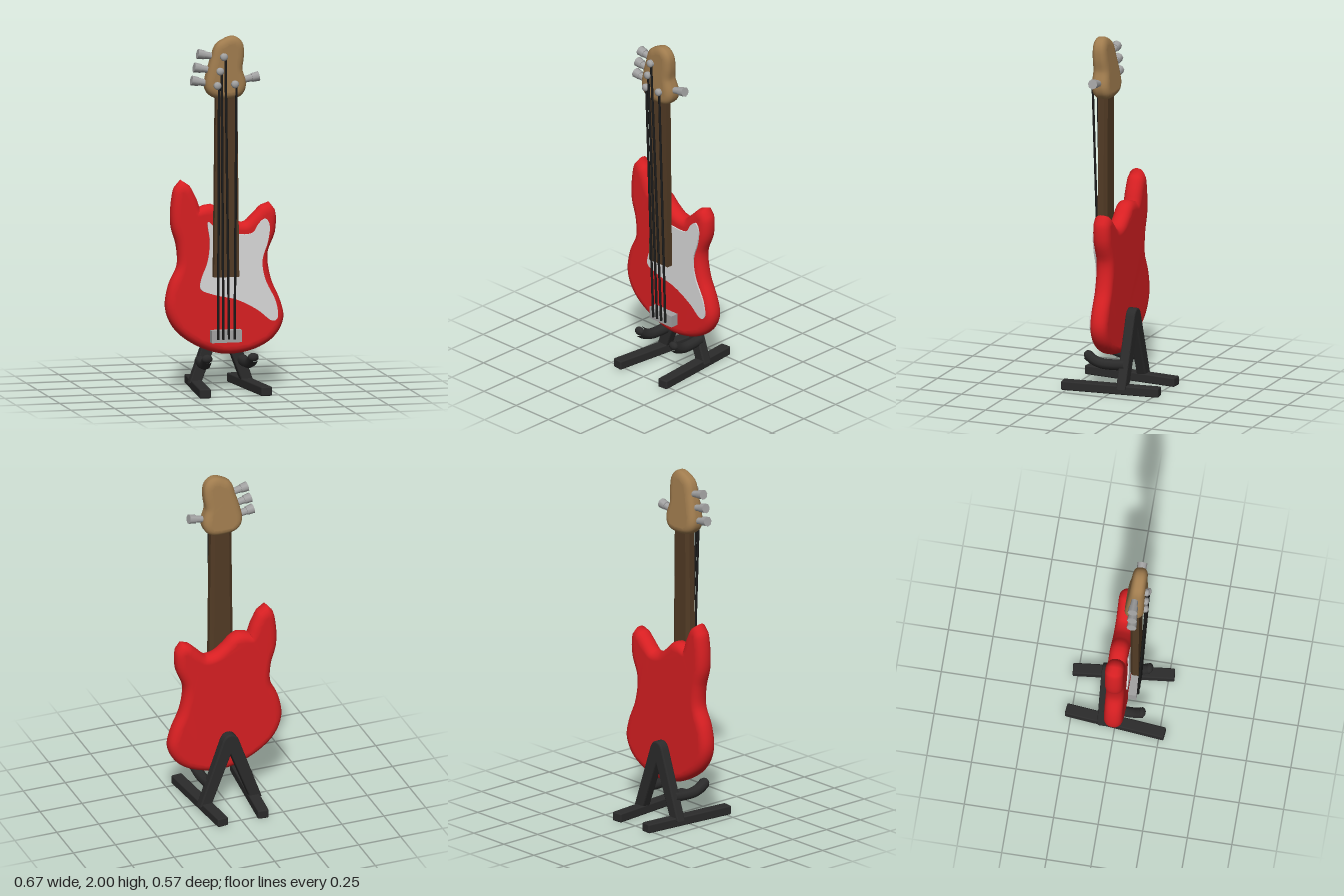
import * as THREE from 'three';
import { mergeVertices } from 'three/addons/utils/BufferGeometryUtils.js';
import { RoundedBoxGeometry } from 'three/addons/geometries/RoundedBoxGeometry.js';

const material = (name, color) => Object.assign(new THREE.MeshStandardMaterial({ color }), { name });
const red = material('red lacquer', 0xd81f22);
const white = material('white plastic', 0xd8d8d8);
const tan = material('light wood', 0xa07c4e);
const brown = material('dark wood', 0x523b25);
const metal = material('grey metal', 0xa3a3a3);
const black = material('black stand', 0x2b2b2b);
const stringBlack = material('string black', 0x1c1c1c);

// Closed smooth outline through a few [x, y] points
function outline(points, samples) {
  const curve = new THREE.CatmullRomCurve3(points.map(([x, y]) => new THREE.Vector3(x, y, 0)), true);
  return new THREE.Shape(curve.getPoints(samples).slice(0, -1).map(p => new THREE.Vector2(p.x, p.y)));
}

// Puffy slab: thin core with a wide round bevel and smooth normals
function puffy(points, samples, depth, round) {
  const geo = new THREE.ExtrudeGeometry(outline(points, samples), {
    depth, bevelEnabled: true, bevelSize: round, bevelThickness: round, bevelSegments: 5,
  });
  geo.translate(0, 0, -depth / 2);
  return geo;
}

function smooth(geo) {
  geo.deleteAttribute('normal');
  geo.deleteAttribute('uv');
  const merged = mergeVertices(geo, 1e-4);
  merged.computeVertexNormals();
  return merged;
}

// Moves each vertex by a rule
function reshape(geo, rule) {
  const pos = geo.attributes.position;
  const v = new THREE.Vector3();
  for (let i = 0; i < pos.count; i++) {
    rule(v.fromBufferAttribute(pos, i));
    pos.setXYZ(i, v.x, v.y, v.z);
  }
  geo.computeVertexNormals();
  return geo;
}

// Straight rod between two points
function rod(a, b, r1, r2, sides) {
  const dir = b.clone().sub(a);
  const geo = new THREE.CylinderGeometry(r2, r1, dir.length(), sides);
  geo.applyQuaternion(new THREE.Quaternion().setFromUnitVectors(new THREE.Vector3(0, 1, 0), dir.normalize()));
  const mid = a.clone().add(b).multiplyScalar(0.5);
  return geo.translate(mid.x, mid.y, mid.z);
}

export function createModel() {
  const model = new THREE.Group();
  model.name = 'bass guitar on stand';
  const add = (name, geo, mat, parent = model) => {
    const mesh = new THREE.Mesh(geo, mat);
    mesh.name = name;
    parent.add(mesh);
    return mesh;
  };
  const V = (x, y, z) => new THREE.Vector3(x, y, z);

  // Body with two horns
  const body = puffy([
    [-0.24, 1.128], [-0.205, 1.07], [-0.165, 0.985], [-0.08, 1.0], [-0.02, 0.95], [0.05, 0.905],
    [0.13, 0.9], [0.205, 0.965], [0.24, 0.993], [0.245, 0.9], [0.2, 0.77], [0.22, 0.61], [0.275, 0.48],
    [0.29, 0.4], [0.25, 0.325], [0.155, 0.27], [0.01, 0.25], [-0.13, 0.292], [-0.245, 0.375],
    [-0.29, 0.47], [-0.275, 0.585], [-0.225, 0.7], [-0.23, 0.83], [-0.26, 0.94], [-0.257, 1.06],
  ], 110, 0.012, 0.045);
  add('body', smooth(body.translate(0, 0, 0.01)), red);

  // Pickguard plate on the front
  const guard = new THREE.ExtrudeGeometry(outline([
    [-0.105, 0.955], [-0.04, 0.9], [0.06, 0.88], [0.15, 0.885], [0.185, 0.935], [0.222, 0.962],
    [0.245, 0.93], [0.238, 0.84], [0.205, 0.73], [0.22, 0.625], [0.283, 0.49], [0.29, 0.4],
    [0.262, 0.388], [0.18, 0.45], [0.06, 0.513], [-0.07, 0.545], [-0.148, 0.58], [-0.145, 0.63],
    [-0.108, 0.73], [-0.095, 0.84],
  ], 90), { depth: 0.009, bevelEnabled: false });
  add('pickguard', guard.translate(0, 0, 0.06), white);

  // Neck: flat front, chamfered back, slightly narrower at the top
  const neckLength = 1.05;
  const section = new THREE.Shape([
    [-0.072, -0.12], [0.072, -0.12], [0.072, -0.085], [0.05, -0.07], [-0.05, -0.07], [-0.072, -0.085],
  ].map(p => new THREE.Vector2(...p)));
  const neck = new THREE.ExtrudeGeometry(section, { depth: neckLength, bevelEnabled: false });
  neck.rotateX(-Math.PI / 2);
  reshape(neck, v => { v.x = v.x * (1 - 0.16 * v.y / neckLength) - 0.013; v.y += 0.65; });
  add('neck', neck, brown);

  // Headstock, thinner from behind towards the top
  const head = smooth(puffy([
    [-0.02, 1.945], [0.02, 1.96], [0.04, 1.945], [0.045, 1.89], [0.037, 1.81], [0.058, 1.73],
    [0.045, 1.697], [0, 1.687], [-0.075, 1.697], [-0.094, 1.722], [-0.083, 1.795], [-0.06, 1.875],
    [-0.042, 1.93],
  ], 60, 0.03, 0.04));
  reshape(head, v => {
    const thin = 1 - 0.3 * THREE.MathUtils.clamp((v.y - 1.68) / 0.3, 0, 1);
    v.z = 0.15 + (v.z - 0.055) * thin;
  });
  add('headstock', head, tan);

  // Tuning pegs: [inner x, height, side]
  const tuners = new THREE.Group();
  tuners.name = 'tuners';
  model.add(tuners);
  for (const [x, y, s] of [[-0.075, 1.885, -1], [-0.095, 1.81, -1], [-0.11, 1.737, -1], [0.075, 1.748, 1]]) {
    const at = (d, z = 0.1) => V(x + s * d, y + d * 0.2, z);
    add('tunerShaft', rod(at(0), at(0.075), 0.018, 0.022, 8), metal, tuners);
    add('tunerKnob', rod(at(0.06), at(0.1), 0.025, 0.028, 8), metal, tuners);
  }

  // Strings, each wound on a round post: [top x, top y, bottom x]
  const strings = new THREE.Group();
  strings.name = 'strings';
  model.add(strings);
  for (const [x, y, bottom] of [[-0.075, 1.73, -0.06], [-0.06, 1.81, -0.03], [-0.038, 1.89, 0.002], [0.025, 1.735, 0.034]]) {
    add('string', rod(V(bottom, 0.3, 0.113), V(x + 0.008, y, 0.16), 0.007, 0.007, 6), stringBlack, strings);
    add('stringPost', rod(V(x, y, 0.12), V(x, y, 0.163), 0.021, 0.021, 10), metal, strings);
    const cap = new THREE.SphereGeometry(0.022, 10, 8).scale(1, 1, 0.6);
    add('stringPostCap', cap.translate(x, y, 0.162), metal, strings);
  }

  // Bridge
  add('bridge', new THREE.BoxGeometry(0.172, 0.068, 0.055).translate(-0.008, 0.315, 0.081), metal);

  // Stand: A-frame, feet and cradle arms
  const stand = new THREE.Group();
  stand.name = 'stand';
  model.add(stand);
  const frame = new THREE.Shape();
  frame.moveTo(-0.182, 0.035);
  frame.lineTo(-0.118, 0.035);
  frame.lineTo(0, 0.34);
  frame.lineTo(0.118, 0.035);
  frame.lineTo(0.182, 0.035);
  frame.lineTo(0.046, 0.42);
  frame.quadraticCurveTo(0.03, 0.457, 0, 0.457);
  frame.quadraticCurveTo(-0.03, 0.457, -0.046, 0.42);
  const frameGeo = new THREE.ExtrudeGeometry(frame, {
    depth: 0.04, bevelEnabled: true, bevelSize: 0.008, bevelOffset: -0.006, bevelThickness: 0.008, bevelSegments: 2,
  });
  add('frame', frameGeo.translate(0, 0, -0.09), black, stand);
  for (const s of [-1, 1]) {
    const foot = add('foot', new RoundedBoxGeometry(0.064, 0.052, 0.565, 2, 0.008), black, stand);
    foot.position.set(s * 0.148, 0.027, 0);
    foot.rotation.y = s * 0.1;
    const path = new THREE.CatmullRomCurve3([
      V(s * 0.118, 0.16, -0.07), V(s * 0.122, 0.155, 0), V(s * 0.126, 0.158, 0.07),
      V(s * 0.13, 0.175, 0.115), V(s * 0.132, 0.2, 0.148),
    ]);
    add('cradleArm', new THREE.TubeGeometry(path, 14, 0.031, 8), black, stand);
    const tip = new THREE.SphereGeometry(0.031, 10, 8).scale(1, 0.8, 0.7);
    add('cradleTip', tip.translate(s * 0.132, 0.2, 0.146), black, stand);
  }
  return model;
}
